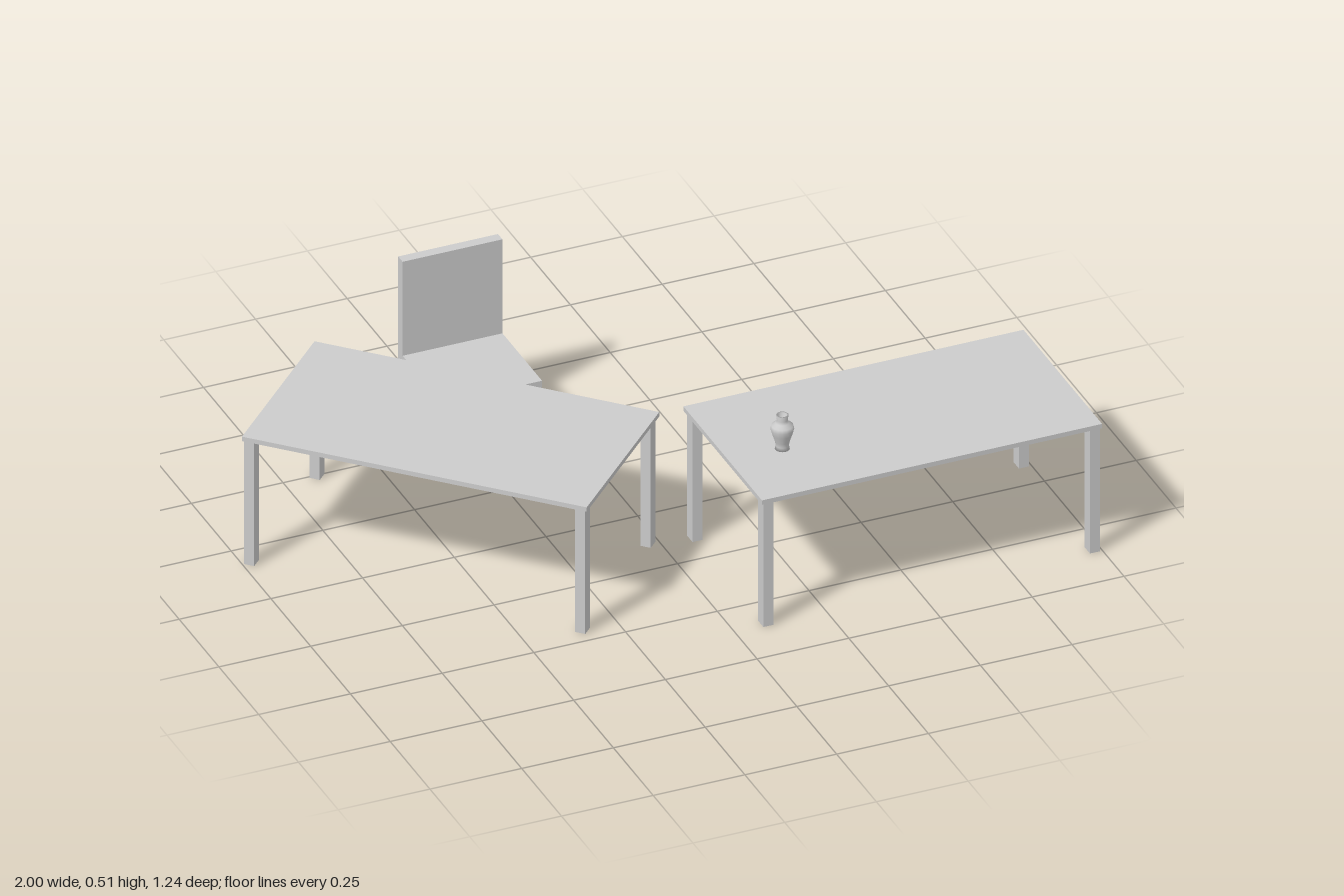
import * as THREE from 'three';

const material = new THREE.MeshStandardMaterial({ color: 0xcccccc });

// Box given by its min and max on each axis
function box(name, [x0, x1], [y0, y1], [z0, z1]) {
  const mesh = new THREE.Mesh(new THREE.BoxGeometry(x1 - x0, y1 - y0, z1 - z0), material);
  mesh.position.set((x0 + x1) / 2, (y0 + y1) / 2, (z0 + z1) / 2);
  mesh.name = name;
  return mesh;
}

// Four upright legs at every pairing of the given x and z centres
function addLegs(group, name, xs, zs, width, depth, height) {
  for (const x of xs) {
    for (const z of zs) {
      group.add(box(name, [x - width / 2, x + width / 2], [0, height], [z - depth / 2, z + depth / 2]));
    }
  }
}

function createTable(name) {
  const table = new THREE.Group();
  table.name = name;
  table.add(box('tableTop', [-0.4635, 0.4635], [0.36, 0.373], [-0.247, 0.247]));
  addLegs(table, 'tableLeg', [-0.445, 0.445], [-0.218, 0.228], 0.027, 0.033, 0.36);
  return table;
}

function createChair() {
  const chair = new THREE.Group();
  chair.name = 'chair';
  chair.add(box('seat', [-0.385, -0.113], [0.206, 0.233], [-0.59, -0.341]));
  chair.add(box('backrest', [-0.385, -0.113], [0.206, 0.508], [-0.618, -0.59]));
  addLegs(chair, 'chairLeg', [-0.359, -0.14], [-0.601, -0.362], 0.029, 0.025, 0.206);
  return chair;
}

// Turned vase with a sunken mouth
function createVase() {
  const profile = [
    [0, 0], [0.019, 0], [0.0165, 0.01], [0.019, 0.022], [0.026, 0.043], [0.03, 0.058],
    [0.028, 0.068], [0.017, 0.076], [0.0135, 0.084], [0.016, 0.098],
    [0.012, 0.098], [0.01, 0.08], [0, 0.076],
  ].map(([r, y]) => new THREE.Vector2(r, y));
  const vase = new THREE.Mesh(new THREE.LatheGeometry(profile, 16), material);
  vase.name = 'vase';
  return vase;
}

export function createModel() {
  const model = new THREE.Group();
  model.name = 'tablesAndChair';

  const straightTable = createTable('straightTable');
  straightTable.position.set(0.534, 0, 0.371);

  const angledTable = createTable('angledTable');
  angledTable.position.set(-0.498, 0, -0.028);
  angledTable.rotation.y = -Math.PI / 4;

  const vase = createVase();
  vase.position.set(0.217, 0.373, 0.408);

  model.add(straightTable, angledTable, createChair(), vase);
  return model;
}
